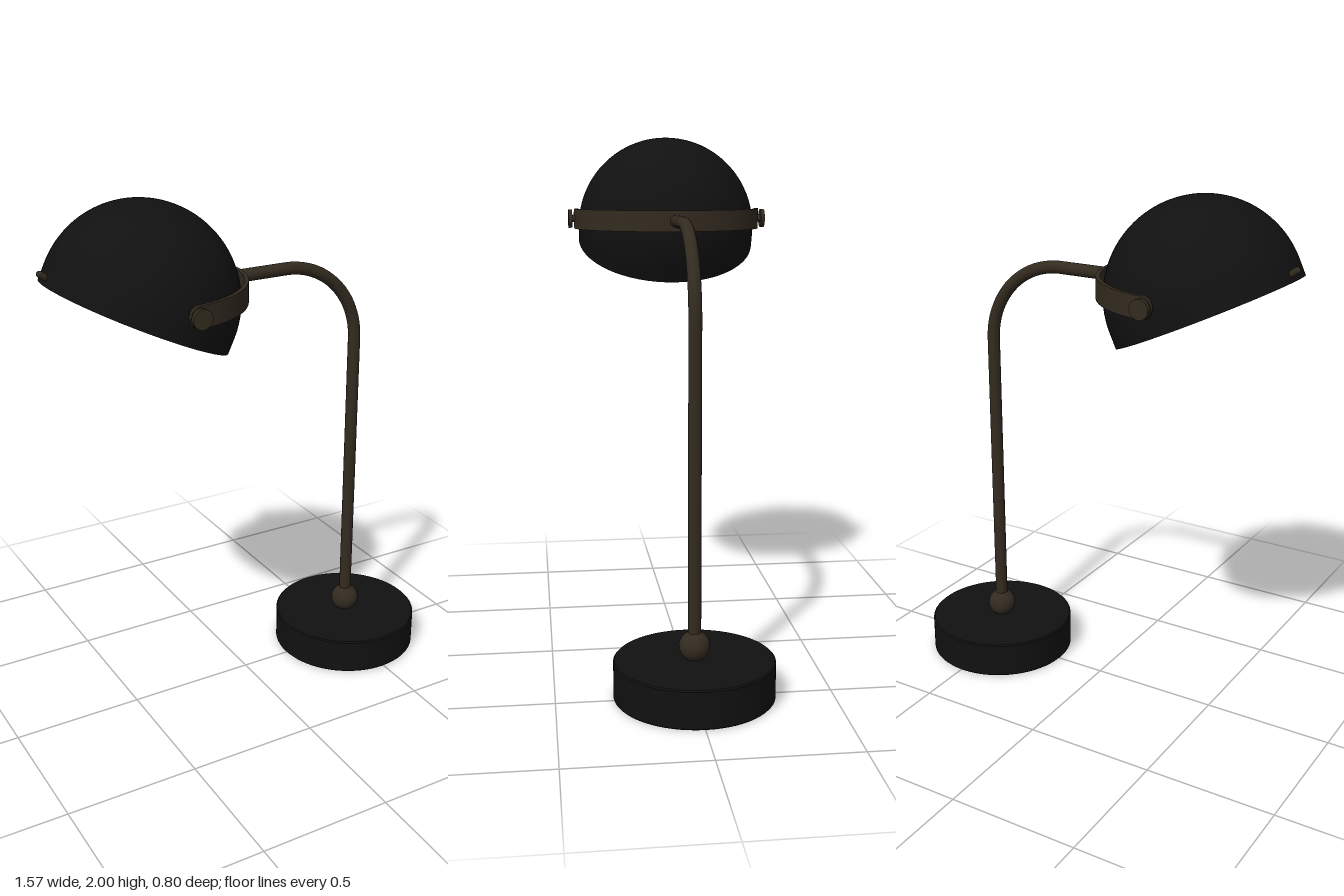
import * as THREE from 'three';
import { toCreasedNormals } from 'three/addons/utils/BufferGeometryUtils.js';

const V = (x, y, z = 0) => new THREE.Vector3(x, y, z);

export function createModel() {
  const lamp = new THREE.Group();
  lamp.name = 'deskLamp';
  const black = new THREE.MeshStandardMaterial({ color: 0x111111 });
  const bronze = new THREE.MeshStandardMaterial({ color: 0x332b20 });

  function add(name, geometry, material, position = V(0, 0), parent = lamp) {
    const mesh = new THREE.Mesh(geometry, material);
    mesh.name = name;
    mesh.position.copy(position);
    parent.add(mesh);
    return mesh;
  }
  const lathe = (pts) => new THREE.LatheGeometry(pts.map(([x, y]) => new THREE.Vector2(x, y)), 64);

  // Round base with slightly eased edges
  const standX = 0.49;
  const baseProfile = [[0, 0], [0.287, 0], [0.292, 0.005], [0.292, 0.137], [0.287, 0.142], [0, 0.142]];
  add('base', toCreasedNormals(lathe(baseProfile), 0.6), black, V(standX, 0));
  add('baseBall', new THREE.SphereGeometry(0.056, 32, 20), bronze, V(standX, 0.19));

  // Stem: straight post, quarter bend, short horizontal arm
  const armY = 1.678, bend = 0.32, k = bend * 0.448;
  const path = new THREE.CurvePath();
  path.add(new THREE.LineCurve3(V(standX, 0.14), V(standX, armY - bend)));
  path.add(new THREE.CubicBezierCurve3(
    V(standX, armY - bend), V(standX, armY - k), V(standX - k, armY), V(standX - bend, armY)));
  path.add(new THREE.LineCurve3(V(standX - bend, armY), V(-0.05, armY)));
  add('stem', new THREE.TubeGeometry(path, 120, 0.024, 20), bronze);

  // Yoke: a flat strap with rounded ends, bent into a half ring
  const ringR = 0.368, half = 0.04, length = Math.PI * ringR;
  const strap = new THREE.BoxGeometry(length, 2, 0.015, 160, 1, 1);
  const p = strap.attributes.position;
  for (let i = 0; i < p.count; i++) {
    const fromEnd = Math.max(0, length / 2 - Math.abs(p.getX(i)));
    const gap = Math.max(0, half - fromEnd);
    const h = Math.sqrt(Math.max(0, half * half - gap * gap));
    const a = p.getX(i) / ringR, r = ringR + p.getZ(i);
    p.setXYZ(i, r * Math.cos(a), p.getY(i) * h, -r * Math.sin(a));
  }
  strap.computeVertexNormals();
  add('yoke', strap, bronze, V(-0.42, armY));

  // Pivot pins and discs at both ends of the yoke
  for (const side of [1, -1]) {
    const pin = add('pivotPin', new THREE.CylinderGeometry(0.014, 0.014, 0.055, 20), bronze,
      V(-0.385, armY, side * 0.363));
    const disc = add('pivotDisc', new THREE.CylinderGeometry(0.036, 0.036, 0.015, 32), bronze,
      V(-0.385, armY, side * 0.391));
    pin.rotation.x = disc.rotation.x = Math.PI / 2;
  }

  // Shade: tilted dome with a short straight skirt and a bronze lining
  const shade = new THREE.Group();
  shade.name = 'shade';
  shade.position.set(-0.425, 1.645, 0);
  shade.rotation.z = -THREE.MathUtils.degToRad(25.3);
  lamp.add(shade);
  const rimY = -0.06, R = 0.355;
  function dome(r) {
    const pts = [[r, rimY]];
    for (let i = 0; i <= 32; i++) {
      const a = (i / 32) * Math.PI / 2;
      pts.push([Math.max(0, r * Math.cos(a)), r * Math.sin(a)]);
    }
    return pts;
  }
  add('shadeShell', lathe(dome(R)), black, V(0, 0), shade);
  add('shadeLining', lathe(dome(R - 0.01).reverse()), bronze, V(0, 0), shade);
  add('shadeRim', lathe([[R - 0.01, rimY], [R, rimY]]), black, V(0, 0), shade);

  // Small switch near the raised edge of the shade
  const knob = add('switch', new THREE.CapsuleGeometry(0.012, 0.035, 6, 16), bronze, V(-0.765, 1.772, -0.025));
  knob.rotation.z = THREE.MathUtils.degToRad(55);

  return lamp;
}
